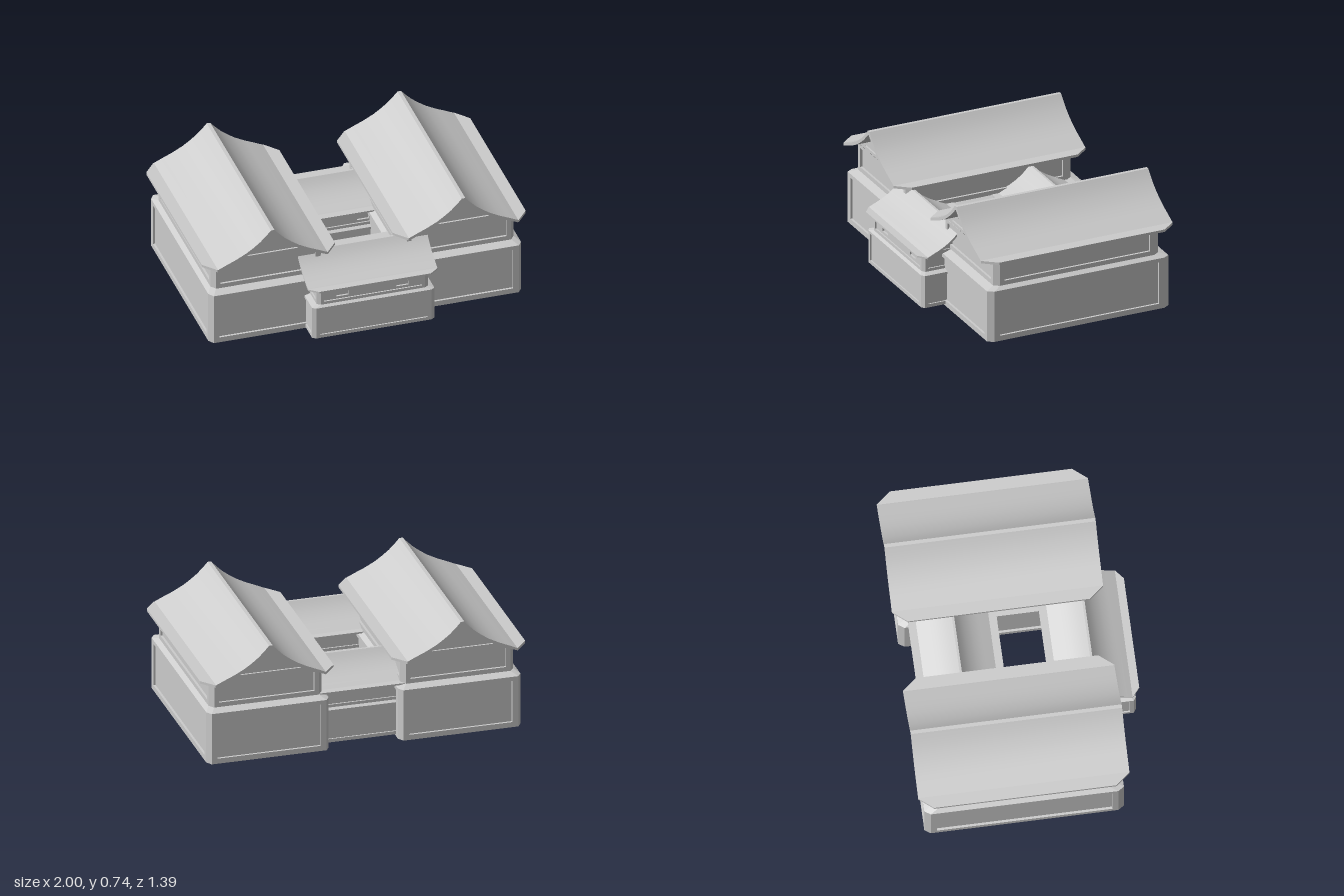
import * as THREE from 'three';
import { toCreasedNormals } from 'three/addons/utils/BufferGeometryUtils.js';

// Shells are open underneath, so both sides show
const mat = new THREE.MeshStandardMaterial({ color: 0xcccccc, side: THREE.DoubleSide });
const V = (x, y, z) => new THREE.Vector3(x, y, z);
const UP = V(0, 1, 0);

function mesh(name, geometry) {
  const m = new THREE.Mesh(geometry, mat);
  m.name = name;
  return m;
}

// Flat-shaded geometry from a list of four-cornered faces
function fromQuads(quads) {
  const pts = quads.flatMap(([a, b, c, d]) => [a, b, c, a, c, d]);
  const g = new THREE.BufferGeometry().setFromPoints(pts);
  g.computeVertexNormals();
  return g;
}

// Quads joining one ring of points to the next
function band(a, b) {
  return a.map((p, i) => {
    const j = (i + 1) % a.length;
    return [p, a[j], b[j], b[i]];
  });
}

const mirror = (pts) => pts.map(([x, y]) => [-x, y]).reverse();
const shapeOf = (pts) => new THREE.Shape(pts.map(([x, y]) => new THREE.Vector2(x, y)));
const slab = (shape, depth) => new THREE.ExtrudeGeometry(shape, { depth, bevelEnabled: false, curveSegments: 10 });

// Rectangle with cut corners; even edges are the four main sides
function octagon({ hx, hz, cx, cz }, y) {
  return [
    [-hx + cx, hz], [hx - cx, hz], [hx, hz - cz], [hx, cz - hz],
    [hx - cx, -hz], [cx - hx, -hz], [-hx, cz - hz], [-hx, hz - cz],
  ].map(([x, z]) => V(x, y, z));
}

const RECESS = 0.009;

// Storey walls: plain cut corners, a sunken panel on each main side;
// the front panel can be left open for a wall with windows
function storeyWalls(o, y0, y1, panelY0, panelY1, margin, openFront) {
  const quads = [];
  band(octagon(o, y0), octagon(o, y1)).forEach((q, i) => {
    if (i % 2) return quads.push(q);
    const u = q[1].clone().sub(q[0]).normalize();
    const inward = u.clone().cross(UP).multiplyScalar(-RECESS);
    const corner = (p, s, y) => p.clone().addScaledVector(u, s * margin).setY(y);
    const frame = [
      corner(q[0], 1, panelY0), corner(q[1], -1, panelY0),
      corner(q[2], -1, panelY1), corner(q[3], 1, panelY1),
    ];
    const back = frame.map((p) => p.clone().add(inward));
    quads.push(...band(q, frame), ...band(frame, back));
    if (i > 0 || !openFront) quads.push(back);
  });
  return fromQuads(quads);
}

// Roof section (half): distance from the ridge line, height
const OUTER = [[0.007, 0.47], [0.022, 0.453], [0.048, 0.427], [0.075, 0.406], [0.103, 0.387],
  [0.143, 0.366], [0.18, 0.35], [0.215, 0.334]];
const INNER = [[0.215, 0.324], [0.175, 0.34], [0.138, 0.355], [0.098, 0.376],
  [0.07, 0.395], [0.043, 0.416], [0, 0.456]];
// Sunken triangle in the gable (half)
const GABLE = [[0.155, 0.336], [0.1, 0.365], [0.045, 0.404], [0, 0.444]];

function createRoof() {
  const roof = new THREE.Group();
  roof.name = 'roof';
  const outline = [...OUTER, ...INNER, ...mirror(INNER.slice(0, -1)), ...mirror(OUTER)];
  const slopes = slab(shapeOf(outline), 0.8).translate(0, 0, -0.4).rotateY(Math.PI / 2);
  roof.add(mesh('roofSlopes', toCreasedNormals(slopes, 0.4)));

  // Flat eaves with cut corners
  const plan = shapeOf([[-0.4, 0.213], [0.4, 0.213], [0.4, 0.217], [0.345, 0.262], [-0.345, 0.262], [-0.4, 0.217]]);
  for (const turn of [0, Math.PI]) {
    const eave = mesh('eave', slab(plan, 0.01).rotateX(Math.PI / 2));
    eave.position.y = 0.334;
    eave.rotation.y = turn;
    roof.add(eave);
  }

  // Gable walls with a sunken triangle under both roof ends
  const inner = [...GABLE, ...mirror(GABLE.slice(0, -1))];
  const frame = shapeOf([...INNER, ...mirror(INNER.slice(0, -1))]);
  frame.holes.push(shapeOf(inner));
  for (const side of [-1, 1]) {
    const gable = new THREE.Group();
    gable.name = 'gable';
    gable.add(mesh('gableFrame', slab(frame, 0.007)), mesh('gablePanel', new THREE.ShapeGeometry(shapeOf(inner))));
    gable.rotation.y = side * Math.PI / 2;
    gable.position.x = side * 0.334;
    roof.add(gable);
  }
  return roof;
}

// Arched window outline standing at (x, y), half width w, height h
function archShape(x, y, w, h) {
  const s = new THREE.Shape();
  s.moveTo(x - w, y);
  s.lineTo(x + w, y);
  s.lineTo(x + w, y + h - w);
  s.absarc(x, y + h - w, w, 0, Math.PI, false);
  s.lineTo(x - w, y);
  return s;
}

// Panel pierced by two arched windows, with panes set deep in them
function createWindowWall(halfWidth, y0, y1) {
  const wall = new THREE.Group();
  wall.name = 'windowWall';
  const panel = shapeOf([[-halfWidth, y0], [halfWidth, y0], [halfWidth, y1], [-halfWidth, y1]]);
  const arches = [-0.185, 0.185].map((x) => archShape(x, 0.251, 0.037, 0.054));
  panel.holes.push(...arches);
  wall.add(mesh('windowPanel', toCreasedNormals(slab(panel, 0.012), 0.6)));
  for (const arch of arches) wall.add(mesh('windowPane', new THREE.ShapeGeometry(arch, 10)));
  return wall;
}

function createHouse(name) {
  const house = new THREE.Group();
  house.name = name;
  const lower = { hx: 0.378, hz: 0.24, cx: 0.023, cz: 0.015 };
  const upper = { hx: 0.344, hz: 0.221, cx: 0.022, cz: 0.016 };

  house.add(mesh('lowerWalls', storeyWalls(lower, 0, 0.207, 0.021, 0.191, 0.023, false)));
  house.add(mesh('ledge', fromQuads(band(octagon(lower, 0.207), octagon(upper, 0.217)))));
  house.add(mesh('upperWalls', storeyWalls(upper, 0.217, 0.326, 0.235, 0.313, 0.018, true)));
  const windows = createWindowWall(0.304, 0.235, 0.313);
  windows.position.z = upper.hz - RECESS - 0.012;
  house.add(windows, createRoof());
  return house;
}

export function createModel() {
  const model = new THREE.Group();
  model.name = 'courtyardHouses';

  // Two large side wings, both facing the same way
  for (const [name, x] of [['leftWing', 0.59], ['rightWing', -0.59]]) {
    const wing = createHouse(name);
    wing.scale.setScalar(1.57);
    wing.rotation.y = -Math.PI / 2;
    wing.position.set(x, 0, -0.07);
    model.add(wing);
  }

  // Two small halls closing the courtyard
  for (const [name, z] of [['frontHall', 0.432], ['backHall', -0.343]]) {
    const hall = createHouse(name);
    hall.position.set(0, 0.01, z);
    model.add(hall);
  }
  return model;
}
